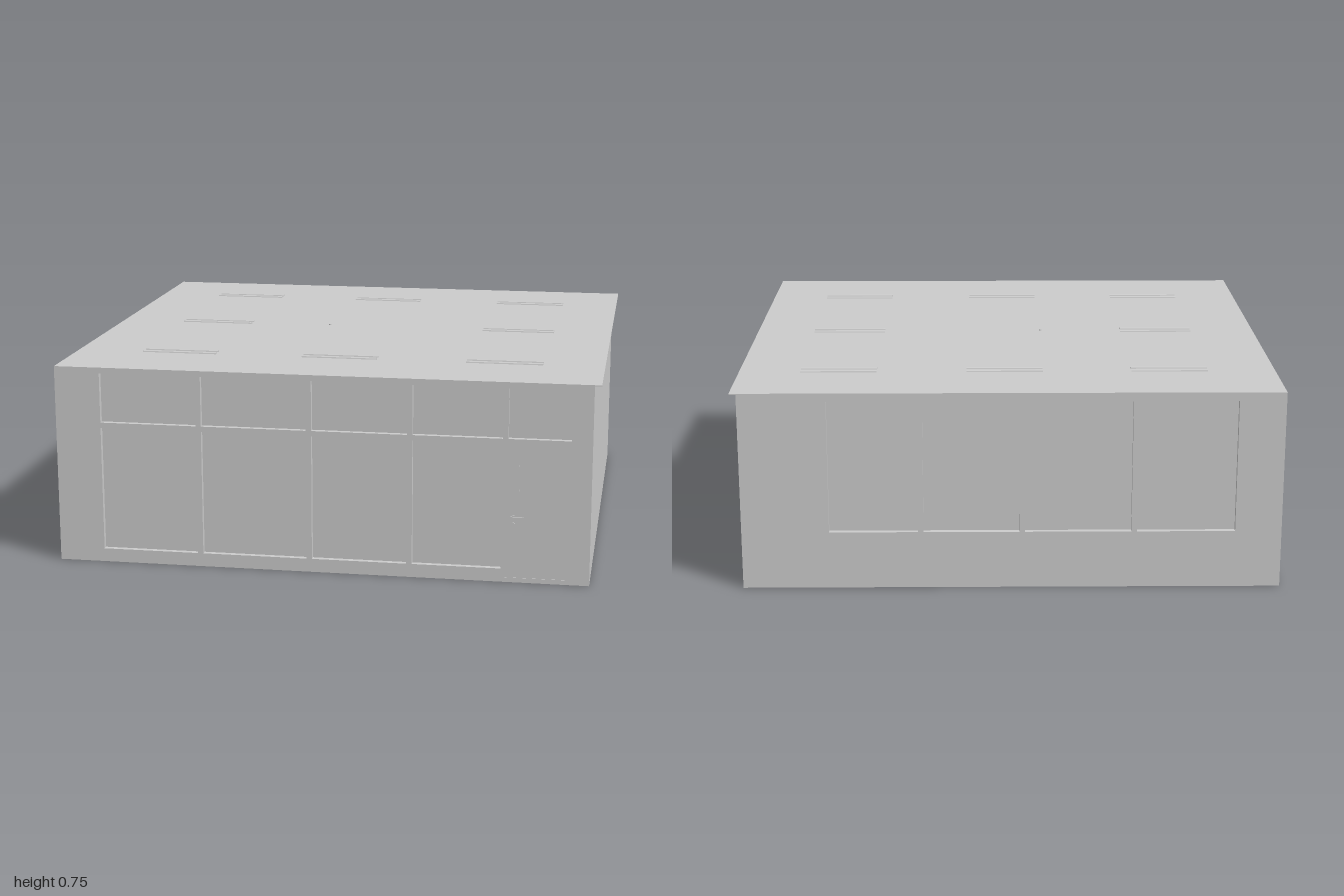
import * as THREE from 'three';

const LEFT = -1, RIGHT = 0.975, TOP = 0.74, FRONT = 0.935, BACK = -0.942, DEPTH = 0.02;
const COLUMNS = [[-0.83, -0.47], [-0.45, -0.06], [-0.04, 0.31], [0.33, 0.655]];

const material = new THREE.MeshStandardMaterial({ color: 0xcccccc, flatShading: true });

function addMesh(parent, name, geometry, x = 0, y = 0, z = 0) {
  const mesh = new THREE.Mesh(geometry, material);
  mesh.name = name;
  mesh.position.set(x, y, z);
  parent.add(mesh);
  return mesh;
}

function addBox(parent, name, x0, x1, y0, y1, z0, z1) {
  return addMesh(parent, name, new THREE.BoxGeometry(x1 - x0, y1 - y0, z1 - z0),
    (x0 + x1) / 2, (y0 + y1) / 2, (z0 + z1) / 2);
}

function rectangle(target, x0, x1, y0, y1) {
  target.moveTo(x0, y0).lineTo(x1, y0).lineTo(x1, y1).lineTo(x0, y1).closePath();
  return target;
}

// Wall skin with a rectangular opening for each window
function addWall(parent, name, windows, z) {
  const shape = rectangle(new THREE.Shape(), LEFT, RIGHT, 0, TOP);
  shape.holes = windows.map((w) => rectangle(new THREE.Path(), ...w));
  addMesh(parent, name, new THREE.ExtrudeGeometry(shape, { depth: DEPTH, bevelEnabled: false }), 0, 0, z);
}

export function createModel() {
  const room = new THREE.Group();
  room.name = 'room';

  // Solid body; its ends form the window panes behind the wall skins
  addBox(room, 'body', LEFT, RIGHT, 0, TOP, BACK + DEPTH, FRONT - DEPTH);

  const frontWindows = [
    ...COLUMNS.map(([a, b]) => [a, b, 0.05, 0.515]),
    ...[...COLUMNS, [0.675, 0.9]].map(([a, b]) => [a, b, 0.535, 0.72]),
  ];
  addWall(room, 'frontWall', frontWindows, FRONT - DEPTH);
  addWall(room, 'backWall', COLUMNS.map(([a, b]) => [a, b, 0.215, 0.71]), BACK);

  // Thin roof overhanging the left side
  addBox(room, 'roof', LEFT, 1, TOP - 0.002, TOP + 0.002, BACK, FRONT);

  // Twin light tubes around the roof, with none in the centre
  const tube = new THREE.CylinderGeometry(0.007, 0.007, 0.285, 10).rotateZ(Math.PI / 2);
  for (const x of [-0.605, 0.01, 0.63]) {
    for (const z of [-0.625, -0.01, 0.607]) {
      if (x === 0.01 && z === -0.01) continue;
      const light = new THREE.Group();
      light.name = 'ceilingLight';
      light.position.set(x, TOP + 0.002, z);
      for (const side of [-1, 1]) addMesh(light, 'lightTube', tube, 0, 0, side * 0.02);
      room.add(light);
    }
  }

  // Small rod end in the middle of the roof
  addMesh(room, 'roofRod', new THREE.CylinderGeometry(0.005, 0.005, 0.01, 8), -0.14, TOP + 0.002, -0.01);

  // Door trim, lever handle and lock
  const door = new THREE.Group();
  door.name = 'door';
  addBox(door, 'doorSill', 0.67, 0.9, 0.016, 0.018, FRONT, FRONT + 0.002);
  addBox(door, 'doorTrim', 0.715, 0.717, 0.28, 0.48, FRONT, FRONT + 0.002);
  addBox(door, 'handleLever', 0.688, 0.735, 0.241, 0.248, FRONT + 0.002, FRONT + 0.008);
  addBox(door, 'handleStem', 0.695, 0.702, 0.228, 0.252, FRONT, FRONT + 0.006);
  addMesh(door, 'lock', new THREE.CylinderGeometry(0.006, 0.006, 0.005, 10).rotateX(Math.PI / 2),
    0.698, 0.22, FRONT + 0.002);
  room.add(door);

  return room;
}
